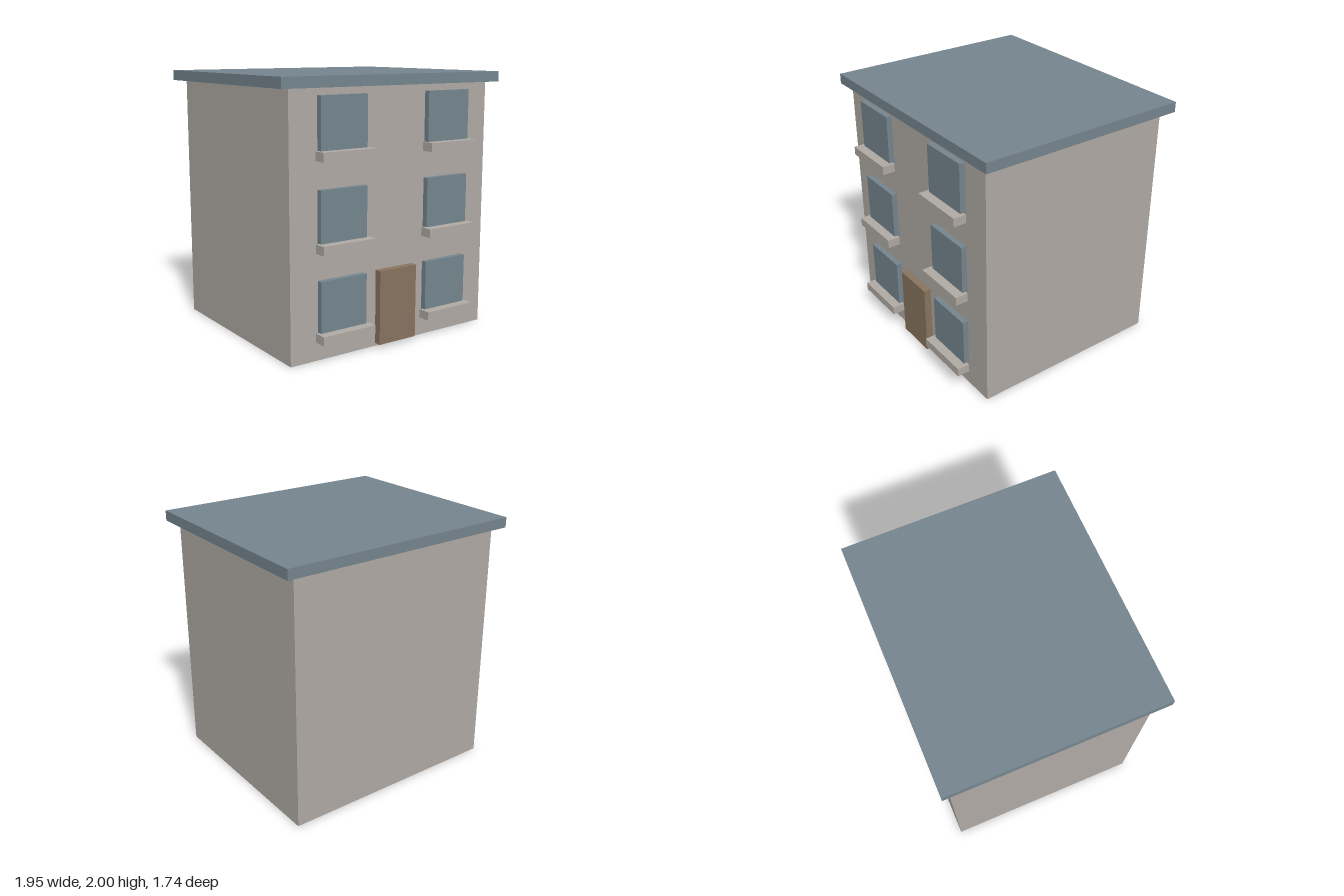
import * as THREE from 'three';

export function createModel() {
  const house = new THREE.Group();
  house.name = 'house';

  const material = (name, color) => {
    const m = new THREE.MeshStandardMaterial({ color });
    m.name = name;
    return m;
  };
  const stone = material('warm grey stone', 0xb0aaa4);
  const slate = material('blue grey slate', 0x75858e);
  const wood = material('brown wood', 0x88745f);

  // Box given by its extents on each axis
  const block = (name, mat, [x0, x1], [y0, y1], [z0, z1]) => {
    const mesh = new THREE.Mesh(new THREE.BoxGeometry(x1 - x0, y1 - y0, z1 - z0), mat);
    mesh.position.set((x0 + x1) / 2, (y0 + y1) / 2, (z0 + z1) / 2);
    mesh.name = name;
    house.add(mesh);
  };

  // Main volume, overhanging flat roof and front door
  block('walls', stone, [-0.892, 0.892], [0, 1.922], [-0.811, 0.748]);
  block('roof', slate, [-0.977, 0.977], [1.922, 2], [-0.872, 0.804]);
  block('door', wood, [-0.168, 0.168], [0.029, 0.588], [0.761, 0.817]);

  // Three storeys of paired windows, each with a projecting sill
  for (let floor = 0; floor < 3; floor++) {
    const y = floor * 0.642;
    for (const side of [-1, 1]) {
      const x = side * 0.474;
      const label = `${side > 0 ? 'Left' : 'Right'}${floor + 1}`;
      block('window' + label, slate, [x - 0.196, x + 0.196], [y + 0.199, y + 0.587], [0.756, 0.8]);
      block('sill' + label, stone, [x - 0.223, x + 0.223], [y + 0.148, y + 0.214], [0.773, 0.872]);
    }
  }

  return house;
}
